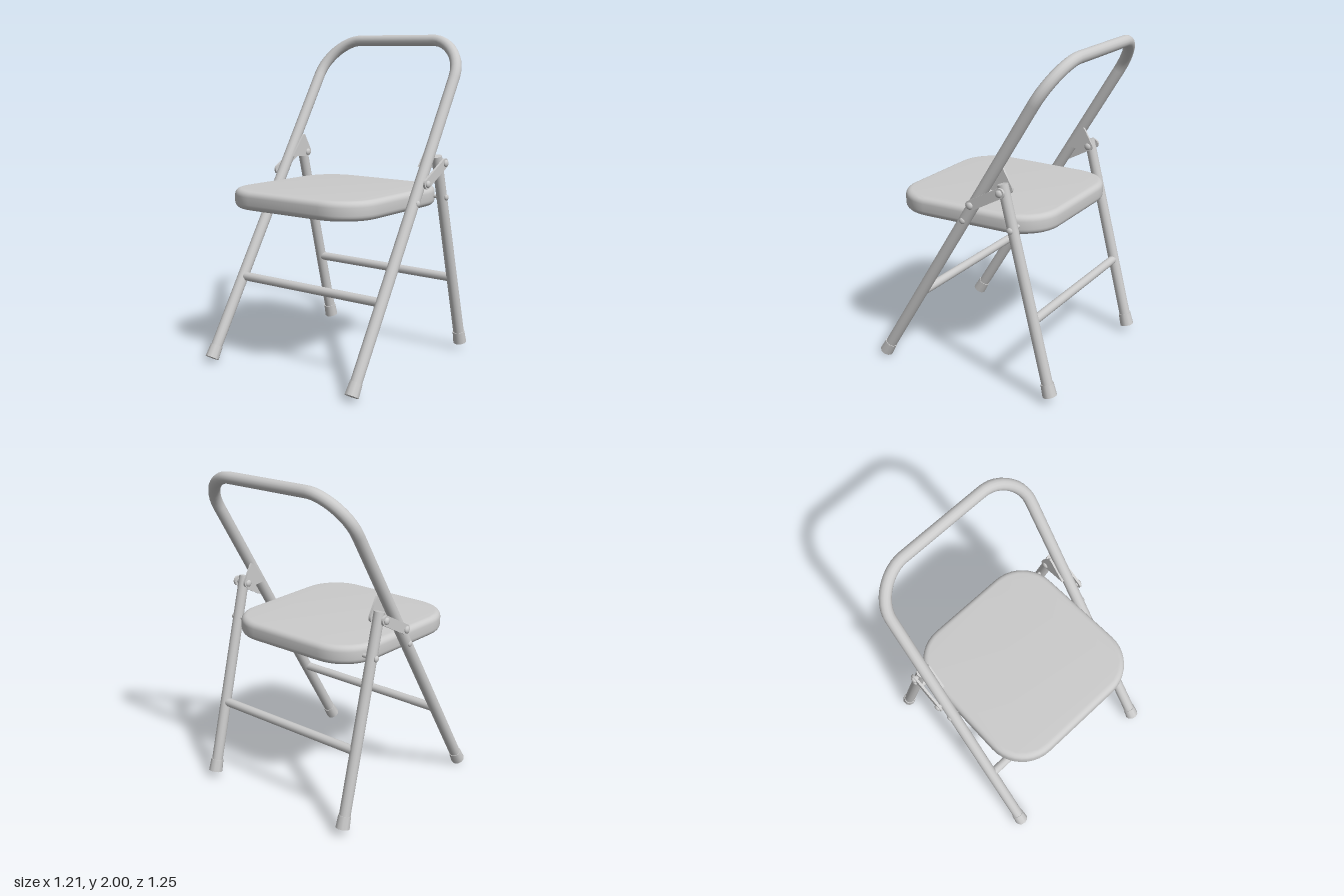
import * as THREE from 'three';
import { toCreasedNormals } from 'three/addons/utils/BufferGeometryUtils.js';

const V = (x, y, z) => new THREE.Vector3(x, y, z);
const material = new THREE.MeshStandardMaterial({ color: 0xcccccc });

export function createModel() {
  const chair = new THREE.Group();
  chair.name = 'foldingChair';

  const add = (name, geometry) => {
    const mesh = new THREE.Mesh(geometry, material);
    mesh.name = name;
    chair.add(mesh);
    return mesh;
  };

  // Round bar between two points, optionally tapered
  const rod = (name, a, b, ra, rb = ra, sides = 14) => {
    const mesh = add(name, new THREE.CylinderGeometry(rb, ra, a.distanceTo(b), sides));
    mesh.position.copy(a).lerp(b, 0.5);
    mesh.quaternion.setFromUnitVectors(V(0, 1, 0), b.clone().sub(a).normalize());
    return mesh;
  };

  // Flat plate drawn in the (z, y) plane, centred on x
  const plate = (name, shape, x, depth) => {
    const g = new THREE.ExtrudeGeometry(shape, { depth, bevelEnabled: false, curveSegments: 8 });
    g.translate(0, 0, -depth / 2).rotateY(-Math.PI / 2).translate(x, 0, 0);
    return add(name, toCreasedNormals(g, 0.6));
  };

  // Domed bolt head
  const boltHead = (name, x, y, z, r) => {
    const mesh = add(name, new THREE.SphereGeometry(r, 12, 8));
    mesh.position.set(x, y, z);
    mesh.scale.x = 0.6;
  };

  // Points along the sloping front frame and the rear legs, by height
  const frameAt = (y, x) => V(x, y, 0.595 - 0.608 * (y - 0.025));
  const rearAt = (y, x = 0.53) => V(x, y, -0.27 - 0.2555 * (1.235 - y));

  // Front frame: one bent tube, foot to foot
  const footX = 0.543, topX = 0.527, bendX = 0.29, bendY = 1.74, topY = 1.966, k = 0.56;
  const mixX = topX + (bendX - topX) * k, mixY = bendY + (topY - bendY) * k;
  const path = new THREE.CurvePath();
  path.add(new THREE.LineCurve3(frameAt(0.07, -footX), frameAt(bendY, -topX)));
  path.add(new THREE.CubicBezierCurve3(
    frameAt(bendY, -topX), frameAt(mixY, -topX), frameAt(topY, -mixX), frameAt(topY, -bendX)));
  path.add(new THREE.LineCurve3(frameAt(topY, -bendX), frameAt(topY, bendX)));
  path.add(new THREE.CubicBezierCurve3(
    frameAt(topY, bendX), frameAt(topY, mixX), frameAt(mixY, topX), frameAt(bendY, topX)));
  path.add(new THREE.LineCurve3(frameAt(bendY, topX), frameAt(0.07, footX)));
  add('frontFrame', new THREE.TubeGeometry(path, 140, 0.035, 14));

  // Seat: rounded slab, a little narrower at the back
  const bevel = 0.035, r = 0.21, q = r * 0.44;
  const wf = 0.507 - bevel, wb = 0.495 - bevel, zf = 0.55 - bevel, zb = -0.472 + bevel;
  const outline = new THREE.Shape();
  outline.moveTo(-wf + r, -zf);
  outline.lineTo(wf - r, -zf);
  outline.bezierCurveTo(wf - q, -zf, wf, -zf + q, wf, -zf + r);
  outline.lineTo(wb, -zb - r);
  outline.bezierCurveTo(wb, -zb - q, wb - q, -zb, wb - r, -zb);
  outline.lineTo(-wb + r, -zb);
  outline.bezierCurveTo(-wb + q, -zb, -wb, -zb - q, -wb, -zb - r);
  outline.lineTo(-wf, -zf + r);
  outline.bezierCurveTo(-wf, -zf + q, -wf + q, -zf, -wf + r, -zf);
  const seat = new THREE.ExtrudeGeometry(outline, {
    depth: 0.115 - 2 * bevel, bevelThickness: bevel, bevelSize: bevel, bevelSegments: 5, curveSegments: 10,
  });
  seat.rotateX(-Math.PI / 2).translate(0, 0.965 + bevel, 0);
  add('seat', toCreasedNormals(seat, 0.7));

  // Cross bars
  rod('frontCrossBar', frameAt(0.49, -0.52), frameAt(0.49, 0.52), 0.027);
  rod('rearCrossBar', rearAt(0.49, -0.52), rearAt(0.49, 0.52), 0.027);

  const pivot = rearAt(1.235), linkEnd = frameAt(1.13, 0);

  for (const s of [-1, 1]) {
    const side = s > 0 ? 'left' : 'right';

    // Rear leg and the rubber feet
    rod(side + 'RearLeg', rearAt(0.08, s * 0.53), rearAt(1.275, s * 0.53), 0.034, 0.032);
    rod(side + 'RearFoot', rearAt(0.045, s * 0.53), rearAt(0.12, s * 0.53), 0.043, 0.039, 10);
    rod(side + 'FrontFoot', frameAt(0.022, s * footX), frameAt(0.09, s * footX), 0.043, 0.039, 10);

    // Gusset plate on the inside of the frame, holding the rear leg
    const gusset = new THREE.Shape();
    gusset.moveTo(-0.12, 1.22);
    gusset.lineTo(-0.26, 1.205);
    gusset.quadraticCurveTo(-0.31, 1.21, -0.3, 1.25);
    gusset.lineTo(-0.243, 1.35);
    gusset.quadraticCurveTo(-0.235, 1.36, -0.22, 1.345);
    plate(side + 'Gusset', gusset, s * 0.492, 0.014);

    // Folding link on the outside, with round ends
    const angle = Math.atan2(pivot.y - linkEnd.y, pivot.z - linkEnd.z);
    const link = new THREE.Shape();
    link.absarc(pivot.z, pivot.y, 0.03, angle - Math.PI / 2, angle + Math.PI / 2);
    link.absarc(linkEnd.z, linkEnd.y, 0.03, angle + Math.PI / 2, angle + Math.PI * 1.5);
    plate(side + 'Link', link, s * 0.58, 0.014);

    // Bolts through link, gusset and seat
    rod(side + 'PivotPin', V(s * 0.485, pivot.y, pivot.z), V(s * 0.59, pivot.y, pivot.z), 0.013);
    boltHead(side + 'PivotBoltOuter', s * 0.59, pivot.y, pivot.z, 0.022);
    boltHead(side + 'PivotBoltInner', s * 0.486, pivot.y, pivot.z, 0.022);
    rod(side + 'LinkPin', V(s * 0.53, linkEnd.y, linkEnd.z), V(s * 0.59, linkEnd.y, linkEnd.z), 0.013);
    boltHead(side + 'LinkBolt', s * 0.589, linkEnd.y, linkEnd.z, 0.022);
    for (const [n, p] of [['Front', frameAt(1.02, 0)], ['Rear', rearAt(1.02)]]) {
      rod(side + n + 'SeatPin', V(s * 0.47, p.y, p.z), V(s * 0.565, p.y, p.z), 0.012);
      boltHead(side + n + 'SeatBolt', s * 0.564, p.y, p.z, 0.019);
    }
  }
  return chair;
}
